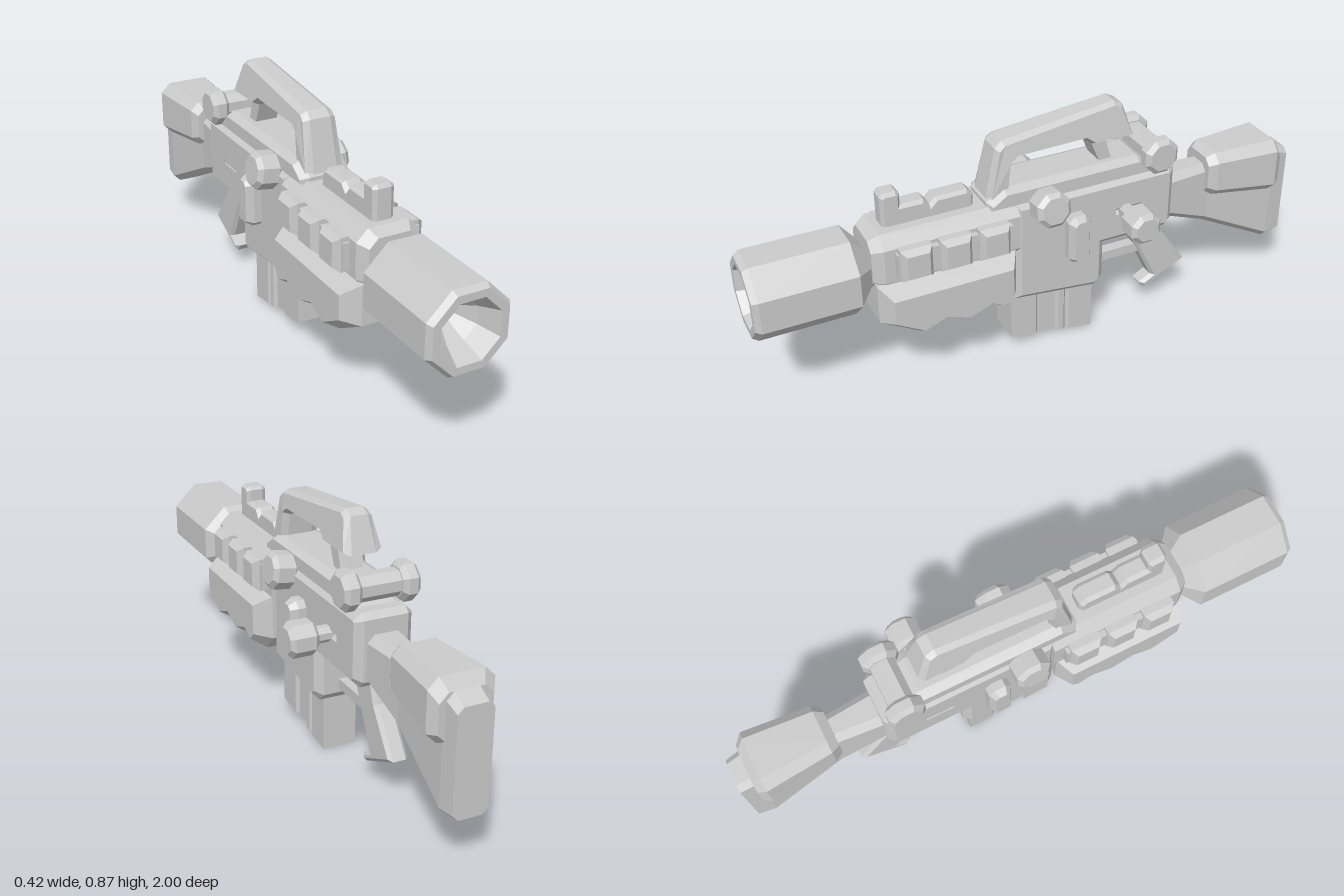
import * as THREE from 'three';

const CX = -0.0375; // the gun's own mid-plane; the side handle shifts it off centre
const mat = new THREE.MeshStandardMaterial({ color: 0xcccccc, flatShading: true });

export function createModel() {
  const root = new THREE.Group();
  const gun = new THREE.Group();
  gun.name = 'gun';
  gun.position.x = CX;
  root.add(gun);

  const add = (name, geo, x = 0, y = 0, z = 0) => {
    const m = new THREE.Mesh(geo, mat);
    m.name = name;
    m.position.set(x, y, z);
    gun.add(m);
    return m;
  };

  // Side profile of [z, y] points, extruded across x with chamfered edges
  const prism = (pts, half, bevel = 0, thick = bevel, hole = null) => {
    const toV = (list) => list.map((p) => new THREE.Vector2(p[0], p[1]));
    const s = new THREE.Shape(toV(pts));
    if (hole) s.holes.push(new THREE.Path(toV(hole)));
    const depth = 2 * (half - thick);
    return new THREE.ExtrudeGeometry(s, {
      depth, bevelEnabled: bevel > 0, bevelSize: bevel, bevelOffset: -bevel,
      bevelThickness: thick, bevelSegments: 1,
    }).translate(0, 0, -depth / 2).rotateY(-Math.PI / 2);
  };
  const rect = (z0, z1, y0, y1) => [[z0, y0], [z1, y0], [z1, y1], [z0, y1]];

  // Chamfered rectangles [z, yBottom, yTop, halfWidth, chamfer], joined front to back
  const loft = (sections) => {
    const pos = [], idx = [];
    for (const [z, b, t, h, c] of sections) {
      for (const [x, y] of [[h - c, b], [h, b + c], [h, t - c], [h - c, t],
        [c - h, t], [-h, t - c], [-h, b + c], [c - h, b]]) pos.push(x, y, z);
    }
    const last = (sections.length - 1) * 8;
    for (let s = 0; s < last; s += 8) {
      for (let i = 0; i < 8; i++) {
        const a = s + i, b = s + (i + 1) % 8;
        idx.push(a, a + 8, b, b, a + 8, b + 8);
      }
    }
    for (let i = 1; i < 7; i++) idx.push(0, i, i + 1, last, last + i + 1, last + i);
    const g = new THREE.BufferGeometry();
    g.setAttribute('position', new THREE.Float32BufferAttribute(pos, 3));
    g.setIndex(idx);
    const flat = g.toNonIndexed();
    flat.computeVertexNormals();
    return flat;
  };

  // Octagonal turned part; profile is [apothem, height], flats facing the axes
  const octagon = (profile) => new THREE.LatheGeometry(
    profile.map(([r, h]) => new THREE.Vector2(r / Math.cos(Math.PI / 8), h)), 8)
    .rotateY(Math.PI / 8);
  const knob = (r, len, c = 0.015) => octagon([[0, -len / 2], [r - c, -len / 2], [r, c - len / 2],
    [r, len / 2 - c], [r - c, len / 2], [0, len / 2]]).rotateZ(-Math.PI / 2);

  // Barrel with flared muzzle recess
  add('barrel', octagon([[0, 0.55], [0.065, 0.55], [0.07, 0.6], [0.137, 0.66], [0.137, 0.98],
    [0.125, 1], [0.1, 1], [0.07, 0.93], [0, 0.82]]).rotateX(Math.PI / 2), 0, 0.468, 0);

  // Receiver, with a slot on its left side
  add('receiver', prism([[0.115, 0.61], [0.115, 0.225], [-0.2, 0.19], [-0.23, 0.22], [-0.23, 0.36],
    [-0.475, 0.36], [-0.5, 0.385], [-0.5, 0.59], [-0.48, 0.61]], 0.1, 0.025, 0.025,
  rect(-0.24, -0.39, 0.47, 0.495)));
  add('slotBacking', new THREE.BoxGeometry(0.165, 0.1, 0.23), -0.015, 0.483, -0.315);
  add('topCover', prism([[0.2, 0.59], [0.2, 0.625], [0.14, 0.665], [-0.36, 0.665],
    [-0.44, 0.61], [-0.44, 0.59]], 0.09, 0.015, 0.03));

  // Carry handle, narrower toward the top
  const handle = prism([[0.195, 0.62], [0.155, 0.8], [0.13, 0.822], [-0.28, 0.872], [-0.312, 0.855],
    [-0.35, 0.74], [-0.195, 0.738], [-0.163, 0.762], [0.08, 0.757], [0.1, 0.742], [0.115, 0.62]],
  0.068, 0.012, 0.025);
  const hp = handle.attributes.position;
  for (let i = 0; i < hp.count; i++) {
    const y = hp.getY(i);
    if (y > 0.74) hp.setX(i, hp.getX(i) * (1 - (y - 0.74) / 0.13 * 0.35));
  }
  add('carryHandle', handle);
  add('handleRearPost', prism([[-0.19, 0.75], [-0.245, 0.75], [-0.275, 0.655], [-0.23, 0.655]], 0.04));

  // Fore-end: upper shroud, wide lower grip with a wavy underside
  add('upperForeEnd', loft([[0.605, 0.42, 0.59, 0.085, 0.03], [0.57, 0.41, 0.612, 0.11, 0.04],
    [0.1, 0.41, 0.612, 0.11, 0.04]]));
  add('lowerForeEnd', prism([[0.6, 0.445], [0.6, 0.305], [0.47, 0.23], [0.39, 0.262], [0.31, 0.232],
    [0.23, 0.262], [0.165, 0.235], [0.115, 0.29], [0.115, 0.445]], 0.163, 0.035, 0.06));
  add('sideRail', new THREE.BoxGeometry(0.265, 0.09, 0.4), 0, 0.515, 0.335);
  for (let i = 0; i < 3; i++) {
    const z = 0.473 - i * 0.135;
    add('sidePads', prism(rect(z - 0.054, z + 0.054, 0.46, 0.575), 0.157, 0.016, 0.022));
  }

  // Front sight and top rail
  add('frontSightRail', prism([[0.545, 0.6], [0.545, 0.715], [0.535, 0.727], [0.49, 0.727], [0.478, 0.715],
    [0.478, 0.675], [0.4, 0.675], [0.38, 0.65], [0.36, 0.672], [0.25, 0.672], [0.23, 0.65],
    [0.23, 0.6]], 0.037, 0.01, 0.014));

  // Magazine: grooved plan, sloping bottom
  const side = [[0.06, 0.115], [0.06, 0.02], [0.048, 0.01], [0.048, -0.06], [0.06, -0.07],
    [0.06, -0.09], [0.048, -0.1], [0.06, -0.11], [0.06, -0.2]];
  const plan = [...side, ...side.map(([x, z]) => [-x, z]).reverse()];
  const mag = new THREE.ExtrudeGeometry(
    new THREE.Shape(plan.map(([x, z]) => new THREE.Vector2(x, -z))),
    { depth: 0.25, bevelEnabled: false }).rotateX(-Math.PI / 2);
  const mp = mag.attributes.position;
  for (let i = 0; i < mp.count; i++) {
    if (mp.getY(i) < 0.1) mp.setY(i, (mp.getZ(i) + 0.2) * 0.05 / 0.315);
  }
  add('magazine', mag);

  // Paired knobs and side lugs
  for (const s of [-1, 1]) {
    const k = add('sideKnob', knob(0.06, 0.09), s * 0.125, 0.59, 0);
    k.rotation.z = s * 0.14;
    add('rearSightKnob', knob(0.062, 0.06), s * 0.1, 0.668, -0.425);
  }
  add('rearSightAxle', knob(0.042, 0.2), 0, 0.668, -0.425);
  add('sideLugs', prism([[-0.07, 0.365], [-0.085, 0.35], [-0.135, 0.35], [-0.15, 0.365], [-0.15, 0.505],
    [-0.13, 0.527], [-0.09, 0.527], [-0.07, 0.505]], 0.153, 0.015, 0.025));

  // Charging handle on the left side
  add('chargingRod', knob(0.026, 0.12, 0.004), 0.11, 0.48, -0.305);
  add('chargingKnob', knob(0.055, 0.098), 0.198, 0.48, -0.305);

  // Pistol grip and guard bar
  add('pistolGrip', prism([[-0.34, 0.38], [-0.465, 0.12], [-0.42, 0.095], [-0.437, 0.07],
    [-0.605, 0.15], [-0.5, 0.3], [-0.47, 0.38]], 0.034, 0.012));
  add('guardBar', new THREE.BoxGeometry(0.04, 0.035, 0.2), 0, 0.252, -0.31);

  // Shoulder stock with raised cheek block
  add('stock', loft([[-0.49, 0.375, 0.54, 0.065, 0.025], [-0.67, 0.3, 0.54, 0.05, 0.025],
    [-0.94, 0.165, 0.56, 0.066, 0.025], [-1, 0.175, 0.53, 0.06, 0.02]]));
  add('cheekBlock', loft([[-0.655, 0.435, 0.57, 0.07, 0.025], [-0.685, 0.42, 0.588, 0.087, 0.03],
    [-0.92, 0.39, 0.594, 0.109, 0.035], [-0.95, 0.4, 0.555, 0.088, 0.03]]));

  return root;
}
